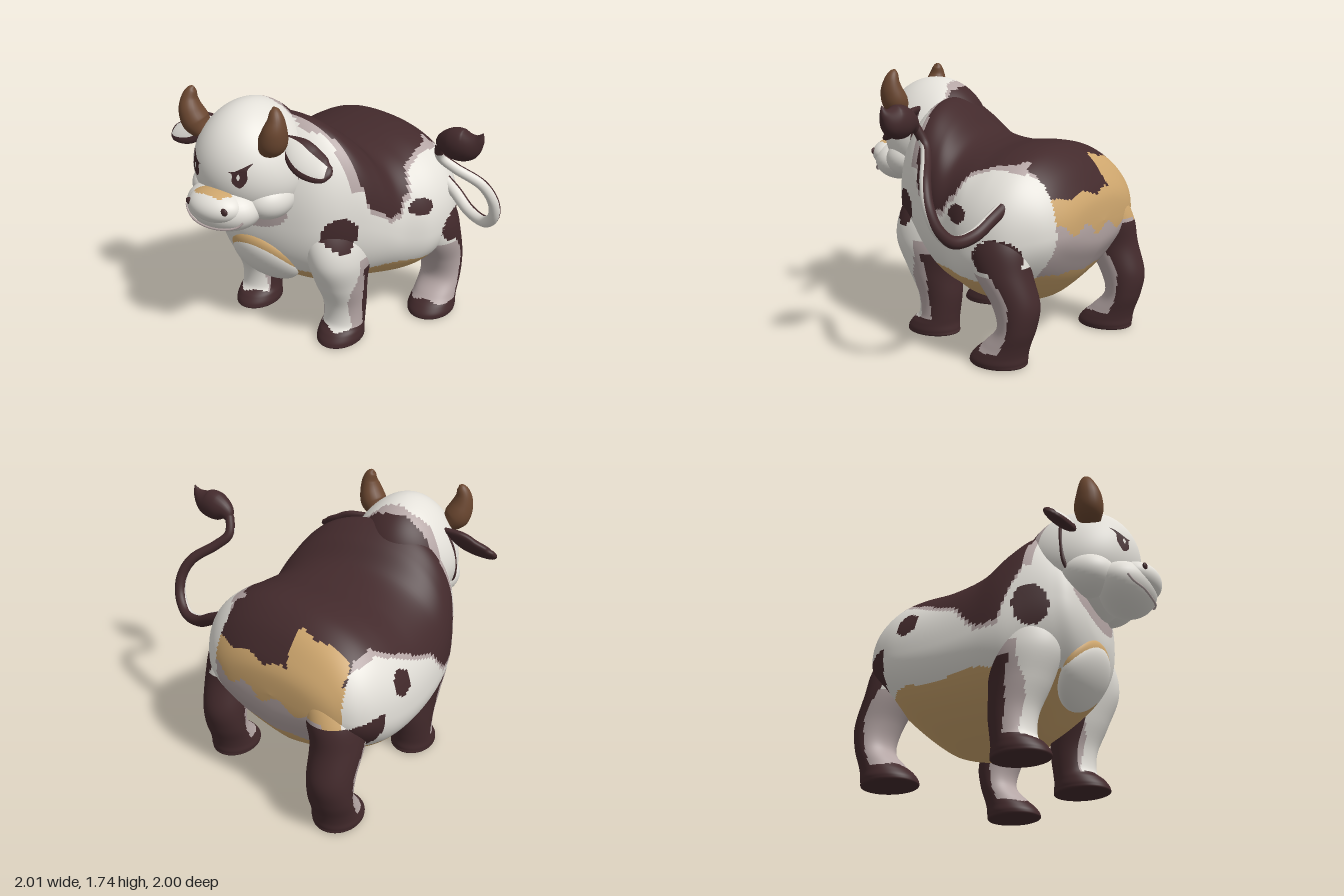
import * as THREE from 'three';

const material = (name, color) => {
  const m = new THREE.MeshStandardMaterial({ color });
  m.name = name;
  return m;
};
const CREAM = 0, PINK = 1, DARK = 2, TAN = 3, HORN = 4;
const HX = -0.38; // middle of the face
const PEAR = 0.5; // how much the head widens towards the cheeks
const smooth = THREE.MathUtils.smoothstep;

// Smooth interpolation through the rows of a small table
function sample(rows, u) {
  const n = rows.length - 1, f = Math.min(u * n, n - 1e-6), i = Math.floor(f), t = f - i;
  const a = rows[Math.max(i - 1, 0)], b = rows[i], c = rows[i + 1], d = rows[Math.min(i + 2, n)];
  return b.map((_, k) => b[k] + 0.5 * t * (c[k] - a[k] + t * (2 * a[k] - 5 * b[k] + 4 * c[k] - d[k]
    + t * (3 * (b[k] - c[k]) + d[k] - a[k]))));
}
// Straight interpolation of [key, value] pairs with falling keys
function lookup(rows, z) {
  for (let i = 1; i < rows.length; i++) {
    const [z0, h0] = rows[i - 1], [z1, h1] = rows[i];
    if (z > z1) return h0 + (h1 - h0) * Math.min(1, Math.max(0, (z0 - z) / (z0 - z1)));
  }
  return rows[rows.length - 1][1];
}

export function createModel() {
  const group = new THREE.Group();
  const mats = [material('cream', 0xe4e1da), material('pinkGrey', 0xb5a6a5), material('darkBrown', 0x432a2c),
    material('tan', 0xcfa76e), material('hornBrown', 0x6b4730)];

  // Closed skin from point(u, v); paint(x, y, z, u, v) picks the colour of each small square
  function skin(name, nu, nv, point, paint) {
    const pos = [], faces = [[], [], [], [], []], squares = [];
    for (let i = 0; i <= nu; i++) for (let j = 0; j < nv; j++) pos.push(...point(i / nu, j / nv));
    const P = (i) => new THREE.Vector3(pos[3 * i], pos[3 * i + 1], pos[3 * i + 2]);
    const centre = P(0);
    let volume = 0;
    for (let i = 0; i < nu; i++) for (let j = 0; j < nv; j++) {
      const a = i * nv + j, b = i * nv + (j + 1) % nv, c = a + nv, d = b + nv;
      const [p, q, r, s] = [a, b, d, c].map(P);
      const m = p.clone().add(q).add(r).add(s).divideScalar(4);
      [p, q, r, s].forEach((k) => k.sub(centre));
      volume += p.dot(q.cross(r)) + p.dot(r.cross(s));
      squares.push([a, b, c, d, typeof paint === 'number' ? paint
        : paint(m.x, m.y, m.z, (i + 0.5) / nu, (j + 0.5) / nv)]);
    }
    for (const [a, b, c, d, k] of squares) faces[k].push(...(volume > 0 ? [a, b, d, a, d, c] : [a, d, b, a, c, d]));
    const geo = new THREE.BufferGeometry();
    geo.setAttribute('position', new THREE.Float32BufferAttribute(pos, 3));
    geo.setIndex(faces.flat());
    let start = 0;
    faces.forEach((f, k) => { if (f.length) geo.addGroup(start, f.length, k); start += f.length; });
    geo.computeVertexNormals();
    const mesh = new THREE.Mesh(geo, mats);
    mesh.name = name;
    group.add(mesh);
  }
  // Ellipsoid, widened towards the bottom by pear, its top leaning forward by lean
  function ball(name, [cx, cy, cz], [rx, ry, rz], paint, n = 24, pear = 0, lean = 0) {
    skin(name, n, n * 2, (u, v) => {
      const a = Math.PI * u, b = 2 * Math.PI * v, y = ry * Math.cos(a);
      return [cx + rx * (1 - pear * y) * Math.sin(a) * Math.cos(b), cy + y,
        cz + lean * y + rz * Math.sin(a) * Math.sin(b)];
    }, paint);
  }
  // Tapering limb along rows of [x, y, z, width, thickness]
  function limb(name, rows, ref, paint, nu = 40, nv = 24) {
    skin(name, nu, nv, (u, v) => {
      const [x, y, z, w, t] = sample(rows, u);
      const p = sample(rows, Math.max(u - 0.01, 0)), q = sample(rows, Math.min(u + 0.01, 1));
      const T = new THREE.Vector3(q[0] - p[0], q[1] - p[1], q[2] - p[2]).normalize();
      const side = T.clone().cross(ref).normalize(), up = side.clone().cross(T), a = 2 * Math.PI * v;
      return new THREE.Vector3(x, y, z).addScaledVector(side, w * Math.cos(a))
        .addScaledVector(up, t * Math.sin(a)).toArray();
    }, paint);
  }

  // Coat pattern: lower edge of the saddle patch on each side, then round spots
  const saddleLeft = [[0.33, 1.7], [0.3, 1.42], [0.285, 1.1], [0.25, 1.0], [0.12, 0.93], [0.04, 0.95], [0, 1.03],
    [-0.04, 1.05], [-0.12, 1.17], [-0.25, 1.21], [-0.5, 1.23], [-0.62, 1.16], [-0.7, 1.0], [-0.9, 1.0]];
  const saddleRight = [[0.31, 1.7], [0.27, 1.1], [0.15, 0.8], [0, 0.8], [-0.15, 0.95], [-0.3, 1.0], [-0.45, 1.1],
    [-0.6, 1.19], [-0.75, 1.12], [-0.95, 1.05]];
  const spots = [[1, 0.42, 0.87, 0.085, 0.12], [1, -0.09, 0.93, 0.08, 0.055], [1, -0.39, 0.7, 0.15, 0.12],
    [-1, -0.5, 0.93, 0.08, 0.08], [-1, 0.34, 0.88, 0.1, 0.13]];
  function coat(x, y, z) {
    const w = 0.018 * Math.sin(13 * z + 5 * y) + 0.015 * Math.sin(23 * x + 9 * z);
    const side = x > -0.18 - 0.3 * z ? 1 : -1, back = z - 0.22 * (x + 0.1);
    if (y < 0.53 + w * 0.6) return TAN;
    for (const [s, sz, sy, rz, ry] of spots)
      if (s === side && Math.hypot((z - sz) / rz, (y - sy) / ry) < 1 + 2 * w) return DARK;
    if (x < -0.42 && y < 0.78 + w && back < -0.57 + w) return DARK;
    if (back < -0.65 + w && Math.abs(x + 0.39) < 0.17 + w && y > 0.8) return TAN;
    const rump = back < -0.58 && x > -0.57 && x < 0.34 + w;
    const h = (rump ? 1.02 : lookup(side > 0 ? saddleLeft : saddleRight, z)) + w;
    if (y > h) return DARK;
    if (back < -0.64 && rump) return y > 0.82 + 2 * w ? TAN : PINK;
    if (y > h - 0.03 || (z < 0.36 + w && z > 0.2 && y > 1.15)) return PINK;
    if (z > 0.45 && Math.hypot((x + 0.37) / 0.3, (y - 1) / 0.14) < 1) return PINK;
    return CREAM;
  }

  // Body: cross-sections [z, centre x, half width, bottom, top] from chest to rump
  const sections = [[0.6, -0.36, 0, 0.88, 0.88], [0.59, -0.36, 0.21, 0.76, 1.08], [0.54, -0.32, 0.38, 0.62, 1.28],
    [0.45, -0.28, 0.48, 0.5, 1.44], [0.3, -0.25, 0.57, 0.38, 1.55], [0.15, -0.235, 0.63, 0.29, 1.47],
    [0, -0.21, 0.66, 0.25, 1.34], [-0.2, -0.15, 0.7, 0.23, 1.3], [-0.4, -0.11, 0.7, 0.25, 1.315],
    [-0.55, -0.09, 0.67, 0.32, 1.3], [-0.68, -0.09, 0.6, 0.44, 1.22], [-0.77, -0.09, 0.5, 0.57, 1.11],
    [-0.83, -0.09, 0.33, 0.69, 0.99], [-0.845, -0.09, 0, 0.84, 0.84]];
  const round = (t, power) => Math.sign(t) * Math.abs(t) ** power;
  skin('body', 110, 260, (u, v) => {
    const [z, cx, hw, bottom, top] = sample(sections, u);
    const a = 2 * Math.PI * v, s = round(Math.sin(a), 0.87), mid = bottom + 0.46 * (top - bottom);
    // The belly narrows downwards
    const dx = hw * round(Math.cos(a), 0.87 + (s < 0 ? 0.6 * smooth(-z, -0.35, 0) : 0));
    return [cx + dx, mid + (s > 0 ? top - mid : mid - bottom) * s, z + 0.2 * smooth(-z, -0.2, 0.5) * dx];
  }, coat);

  // Legs: rings [y, outward shift, z shift, x radius, z radius], running up into shoulder and thigh
  const frontRings = [[0, 0, 0, 0, 0], [0, 0, 0, 0.13, 0.165], [0.03, 0, 0, 0.15, 0.18], [0.08, 0, -0.015, 0.147, 0.162],
    [0.14, 0, -0.045, 0.14, 0.138], [0.28, 0, -0.05, 0.145, 0.15], [0.45, 0, -0.01, 0.165, 0.19],
    [0.65, 0, 0.01, 0.19, 0.25], [0.85, -0.05, -0.01, 0.2, 0.25], [1.05, -0.13, -0.07, 0.16, 0.2],
    [1.2, -0.22, -0.12, 0, 0]];
  const hindRings = [[0, 0, 0, 0, 0], [0, 0, 0, 0.135, 0.165], [0.03, 0, 0, 0.16, 0.185], [0.08, 0, -0.02, 0.155, 0.17],
    [0.14, 0, -0.06, 0.148, 0.145], [0.25, 0, -0.12, 0.145, 0.12], [0.4, 0, -0.11, 0.15, 0.15],
    [0.6, 0, -0.02, 0.165, 0.185], [0.78, -0.04, 0.02, 0.18, 0.2], [0.95, -0.1, 0.06, 0.15, 0.16],
    [1.12, -0.2, 0.1, 0, 0]];
  function leg(name, rings, s, cx, cz, darkTop, inner) {
    skin(name, 72, 70, (u, v) => {
      const [y, out, dz, rx, rz] = sample(rings, u), a = 2 * Math.PI * v;
      return [cx + s * out + rx * Math.cos(a), Math.max(0, y), cz + dz + rz * Math.sin(a)];
    }, (x, y, z, u, v) => {
      const f = Math.sin(2 * Math.PI * v) + 0.08 * Math.sin(17 * y), inward = -s * Math.cos(2 * Math.PI * v);
      if (y < 0.11 + 0.012 * Math.sin(30 * x)) return DARK;
      if (y < darkTop && (f < 0 || (inner && inward > 0.85))) return DARK;
      if (inner ? y < 0.67 && f < 0.65 - 0.6 * smooth(y, 0.35, 0.67) : y < 0.58) return PINK;
      return y < 0.62 ? CREAM : coat(x, y, z);
    });
  }
  leg('frontLegLeft', frontRings, 1, 0.12, 0.27, 0.58, true);
  leg('frontLegRight', frontRings, -1, -0.63, 0.2, 0.58, true);
  leg('hindLegLeft', hindRings, 1, 0.46, -0.365, 0.63, false);
  leg('hindLegRight', hindRings, -1, -0.5, -0.745, 0.77, false);

  // Chest pad with its tan rim
  ball('chestRim', [-0.33, 0.6, 0.48], [0.255, 0.185, 0.105], TAN, 24, 0, 0.45);
  ball('chestPad', [-0.33, 0.575, 0.475], [0.25, 0.19, 0.115], CREAM, 24, 0, 0.45);

  // Head with cheeks and muzzle
  ball('head', [HX, 1.3, 0.5], [0.36, 0.37, 0.37], (x, y, z) => (z < 0.37 ? coat(x, y, z) : CREAM), 48, PEAR);
  ball('muzzle', [HX - 0.01, 1.07, 0.78], [0.255, 0.15, 0.185], CREAM);
  ball('snout', [HX, 1.11, 0.86], [0.19, 0.105, 0.137],
    (x, y, z) => (y > 1.187 + 0.006 * Math.sin(40 * x) && z < 0.93 ? TAN : CREAM), 40);
  const Z = new THREE.Vector3(0, 0, 1), Y = new THREE.Vector3(0, 1, 0);
  limb('mouth', [[0.225, 1.05, 0.872], [0.19, 1.015, 0.895], [0.11, 0.995, 0.93], [0, 0.985, 0.94], [-0.11, 0.995, 0.93],
    [-0.19, 1.015, 0.895], [-0.225, 1.05, 0.872]].map(([x, y, z]) => [HX - 0.01 + x, y, z, 0.007, 0.007]), Y, PINK, 40, 8);

  // Plate that follows the curve of the face
  function facePlate(name, points, mat, lift, s) {
    const shape = new THREE.Shape();
    shape.setFromPoints(new THREE.SplineCurve(points.map(([x, y]) => new THREE.Vector2(s * x, y))).getPoints(40));
    const geo = new THREE.ShapeGeometry(shape), p = geo.attributes.position;
    for (let i = 0; i < p.count; i++) {
      const x = p.getX(i), dy = p.getY(i) - 1.3;
      const d = 1 - (x / (0.36 * (1 - PEAR * dy))) ** 2 - (dy / 0.37) ** 2;
      p.setXYZ(i, HX + x, 1.3 + dy, 0.5 + 0.37 * Math.sqrt(d) + lift);
    }
    geo.computeVertexNormals();
    const mesh = new THREE.Mesh(geo, mats[mat]);
    mesh.name = name;
    group.add(mesh);
  }
  for (const s of [1, -1]) {
    const side = s > 0 ? 'Left' : 'Right';
    ball('cheek' + side, [HX + s * 0.2, 1.11, 0.6], [0.16, 0.135, 0.18], CREAM);
    facePlate('eye' + side, [[0.1, 1.35], [0.145, 1.355], [0.225, 1.4], [0.205, 1.36], [0.208, 1.3], [0.17, 1.25],
      [0.13, 1.28], [0.128, 1.335], [0.1, 1.35]], DARK, 0.007, s);
    facePlate('eyeGlint' + side, [[0.155, 1.32], [0.165, 1.34], [0.175, 1.32], [0.165, 1.3], [0.155, 1.32]],
      CREAM, 0.0115, s);
    ball('nostril' + side, [HX + s * 0.135, 1.13, 0.948], [0.026, 0.024, 0.014], DARK, 10);
    const mirror = (rows) => rows.map(([x, ...rest]) => [HX + s * x, ...rest]);
    limb('horn' + side, mirror([[0.25, 1.46, 0.65, 0.06, 0.07], [0.295, 1.515, 0.665, 0.086, 0.09],
      [0.322, 1.59, 0.675, 0.074, 0.08], [0.33, 1.66, 0.67, 0.052, 0.055], [0.315, 1.715, 0.66, 0.03, 0.03],
      [0.3, 1.735, 0.655, 0, 0]]), Z, HORN);
    limb('ear' + side, mirror([[0.26, 1.47, 0.5, 0.03, 0.02], [0.36, 1.43, 0.525, 0.09, 0.035], [0.45, 1.38, 0.54, 0.105, 0.038],
      [0.55, 1.35, 0.545, 0.085, 0.032], [0.605, 1.343, 0.535, 0.045, 0.02], [0.625, 1.34, 0.53, 0, 0]]),
    new THREE.Vector3(0, 0.75, 0.66), (x, y, z, u, v) => {
      const a = 2 * Math.PI * v, c = s * Math.cos(a);
      return Math.sin(a) > 0.1 && c > -0.5 && c < 0.75 && u < 0.72 ? CREAM : DARK;
    });
    limb('cheekLine' + side, mirror([[0.27, 1.49, 0.47, 0, 0], [0.325, 1.4, 0.49, 0.012, 0.012],
      [0.354, 1.28, 0.505, 0.013, 0.013], [0.352, 1.15, 0.52, 0.013, 0.013], [0.295, 1.05, 0.55, 0, 0]]), Z, DARK, 24, 8);
  }

  // Tail with a leaf-shaped tuft
  const tail = [[0.43, 1.03, -0.42], [0.59, 0.95, -0.375], [0.73, 0.87, -0.32], [0.87, 0.86, -0.26], [0.955, 0.95, -0.2],
    [0.965, 1.08, -0.15], [0.9, 1.2, -0.1], [0.76, 1.295, -0.03], [0.68, 1.375, 0.02], [0.7, 1.48, 0.07]];
  limb('tail', tail.map((p, i) => [...p, 0.043 - 0.0015 * i, 0.043 - 0.0015 * i]), Z,
    (x, y, z, u, v) => (Math.sin(2 * Math.PI * v) < -0.1 || u > 0.92 ? DARK : CREAM), 80, 24);
  limb('tailTuft', [[0.68, 1.43, 0.05, 0, 0], [0.73, 1.495, 0.08, 0.06, 0.05], [0.81, 1.52, 0.1, 0.098, 0.078],
    [0.9, 1.535, 0.11, 0.09, 0.068], [0.965, 1.58, 0.115, 0.04, 0.032], [0.995, 1.635, 0.12, 0, 0]], Z, DARK);
  return group;
}
